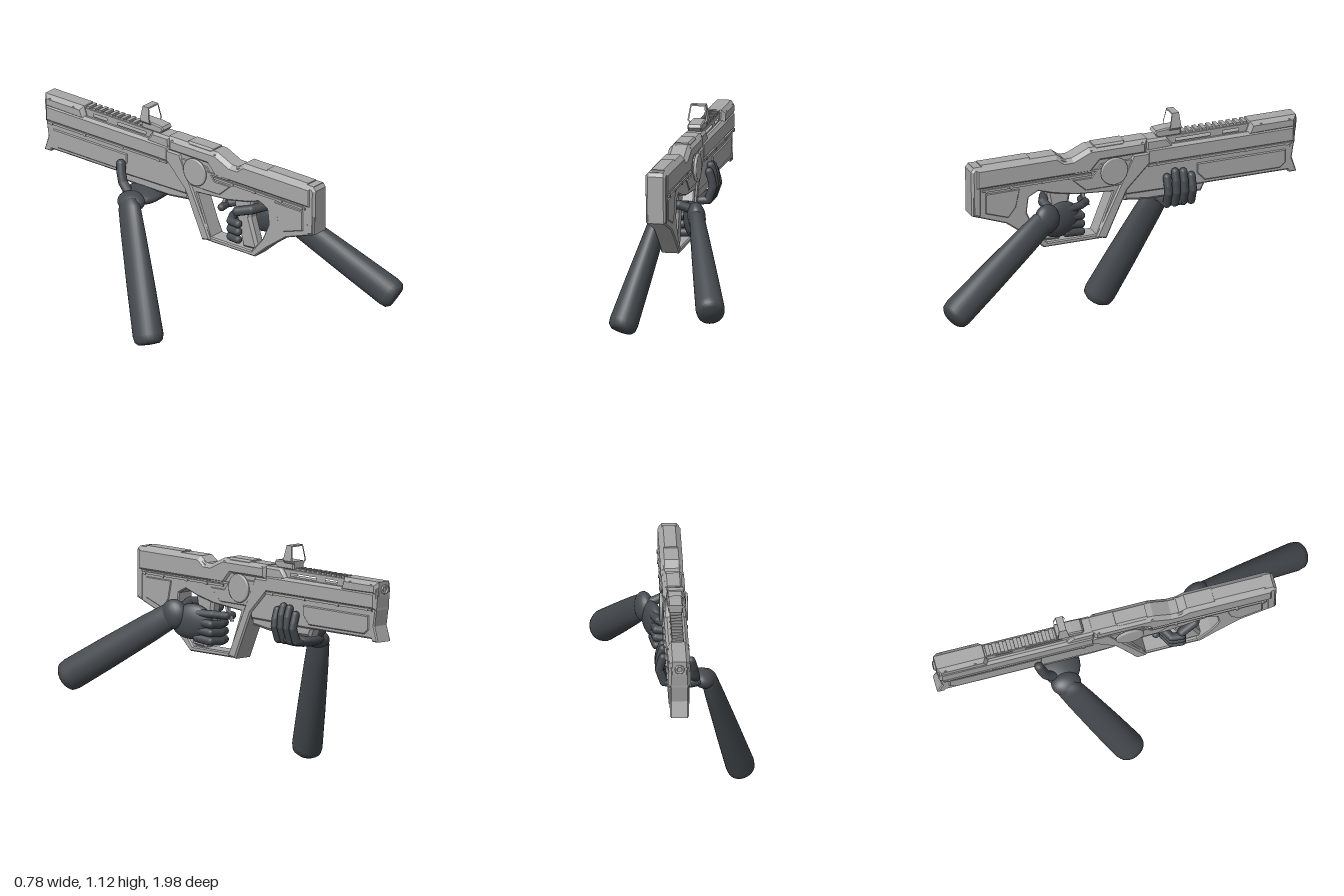
import * as THREE from 'three';

const V = (x, y, z) => new THREE.Vector3(x, y, z);

export function createModel() {
  const metal = new THREE.MeshStandardMaterial({ color: 0xa8a8a8 });
  metal.name = 'weapon grey';
  const glove = new THREE.MeshStandardMaterial({ color: 0x464b50 });
  glove.name = 'glove charcoal';

  const model = new THREE.Group();
  const rifle = new THREE.Group();
  rifle.name = 'rifle';
  rifle.position.x = 0.006;
  model.add(rifle);

  const add = (parent, name, geo, mat = metal) => {
    const m = new THREE.Mesh(geo, mat);
    m.name = name;
    parent.add(m);
    return m;
  };
  const path = (pts, Type = THREE.Path) => new Type(pts.map(p => new THREE.Vector2(...p)));

  // Side profile of [z, y] points, extruded across x with chamfered edges
  const side = (name, pts, half, bevel = 0.006, holes = []) => {
    const s = path(pts, THREE.Shape);
    s.holes = holes.map(h => path(h));
    const depth = 2 * (half - bevel);
    const g = new THREE.ExtrudeGeometry(s, {
      depth, bevelEnabled: bevel > 0, bevelThickness: bevel, bevelSize: bevel,
      bevelOffset: -bevel, bevelSegments: 1,
    });
    g.translate(0, 0, -depth / 2).rotateY(-Math.PI / 2);
    return add(rifle, name, g);
  };
  const box = (name, w, h, d, x, y, z) =>
    add(rifle, name, new THREE.BoxGeometry(w, h, d).translate(x, y, z));
  const rect = (z0, z1, y0, y1) => [[z0, y0], [z1, y0], [z1, y1], [z0, y1]];

  // Stock and lower frame with the grip opening
  side('frame', [[0.73, 0.755], [0.73, 0.99], [0.26, 0.99], [0.2, 0.96], [-0.2, 0.96],
    [-0.2, 0.88], [-0.07, 0.75], [0.025, 0.53], [0.35, 0.53], [0.43, 0.6], [0.55, 0.69]],
  0.047, 0.006, [[[0.44, 0.73], [0.43, 0.81], [0.38, 0.835], [0.3, 0.81], [0.18, 0.785],
    [-0.015, 0.77], [0.07, 0.555], [0.33, 0.555], [0.4, 0.64]]]);
  side('grip', [[0.33, 0.84], [0.2, 0.8], [0.21, 0.74], [0.26, 0.55], [0.36, 0.56], [0.31, 0.72]], 0.032, 0.014);
  side('trigger', [[0.15, 0.8], [0.12, 0.8], [0.115, 0.75], [0.09, 0.7], [0.105, 0.7], [0.135, 0.75]], 0.009, 0.003);

  // Upper shell
  side('stockShell', [[0.72, 0.885], [0.72, 1.01], [0.28, 1.01], [0.24, 0.98], [0.2, 0.98],
    [0.11, 1.02], [-0.2, 1.02], [-0.2, 0.94], [0.05, 0.94], [0.1, 0.885]], 0.056, 0.02);
  side('stockCheek', rect(0.68, 0.42, 0.97, 1.016), 0.042, 0.012);
  side('buttPad', [[0.73, 0.755], [0.735, 0.99], [0.72, 1.008], [0.68, 1.008], [0.68, 0.74]], 0.05, 0.012);
  side('lowerStockPanel', [[0.66, 0.76], [0.66, 0.865], [0.48, 0.865], [0.5, 0.77], [0.54, 0.72]], 0.051, 0.004);
  side('topCover', rect(0.08, -0.08, 0.97, 1.027), 0.042, 0.01);
  side('receiverPanel', [[0.2, 0.865], [0.13, 0.8], [-0.09, 0.8], [-0.15, 0.9], [-0.15, 0.93], [0.05, 0.93], [0.1, 0.865]], 0.051, 0.004);
  side('diagonalStrut', [[-0.21, 0.95], [-0.12, 0.95], [0.075, 0.54], [0.02, 0.528], [-0.09, 0.77], [-0.21, 0.89]], 0.055, 0.008);

  // Handguard
  side('handguardUpper', rect(-0.19, -0.98, 0.88, 0.972), 0.056, 0.014);
  side('handguardLower', [[-0.08, 0.885], [-0.08, 0.74], [-0.47, 0.735], [-0.96, 0.735], [-0.96, 0.885]], 0.046, 0.008);
  side('handguardPanel', [[-0.46, 0.8], [-0.5, 0.755], [-0.9, 0.755], [-0.93, 0.78], [-0.93, 0.85], [-0.46, 0.85]], 0.051, 0.005);
  side('handguardBelly', [[-0.07, 0.76], [-0.08, 0.705], [-0.2, 0.69], [-0.49, 0.69], [-0.52, 0.75]], 0.036, 0.014);
  side('frontTopBlock', [[-0.72, 0.95], [-0.745, 1.022], [-0.99, 1.022], [-0.99, 0.95]], 0.054, 0.02);
  side('muzzlePlate', [[-0.94, 0.74], [-0.955, 0.99], [-0.99, 0.99], [-0.98, 0.89], [-0.965, 0.8],
    [-0.99, 0.722], [-0.95, 0.722]], 0.046, 0.006);
  side('rearRailBlock', [[-0.19, 0.95], [-0.19, 1.015], [-0.3, 1.015], [-0.34, 0.96]], 0.05, 0.012);

  // Barrel end
  add(rifle, 'barrel', new THREE.CylinderGeometry(0.022, 0.022, 0.04, 20, 1, true)
    .rotateX(Math.PI / 2).translate(0, 0.983, -0.98));
  add(rifle, 'barrelRim', new THREE.TorusGeometry(0.018, 0.006, 8, 20).translate(0, 0.983, -0.995));

  // Top rail with open slots and teeth
  side('rail', rect(-0.28, -0.75, 0.965, 1.013), 0.03, 0.003,
    [rect(-0.35, -0.54, 0.976, 0.997), rect(-0.6, -0.69, 0.976, 0.997)]);
  for (let i = 0; i < 10; i++) box('railTooth', 0.056, 0.012, 0.02, 0, 1.017, -0.4 - i * 0.036);

  // Reflex sight
  side('sightBase', [[-0.24, 1.035], [-0.25, 1.05], [-0.3, 1.055], [-0.38, 1.055], [-0.38, 1.012], [-0.26, 1.012]], 0.036, 0.006);
  const frame = path([[-0.03, 1.036], [-0.05, 1.056], [-0.038, 1.132], [0.038, 1.132], [0.05, 1.056], [0.03, 1.036]], THREE.Shape);
  frame.holes = [path([[-0.026, 1.044], [-0.042, 1.058], [-0.032, 1.125], [0.032, 1.125], [0.042, 1.058], [0.026, 1.044]])];
  const hood = new THREE.ExtrudeGeometry(frame, { depth: 0.065, bevelEnabled: false }).translate(0, 0, -0.38);
  const hp = hood.attributes.position;
  for (let i = 0; i < hp.count; i++) { // hood narrows towards its top
    const t = (hp.getY(i) - 1.036) / 0.096;
    hp.setZ(i, hp.getZ(i) * (1 - 0.45 * t) - 0.355 * 0.45 * t);
  }
  hood.computeVertexNormals();
  add(rifle, 'sightHood', hood);

  // Mirrored side details
  for (const s of [-1, 1]) {
    add(rifle, 'sideDisc', new THREE.CylinderGeometry(0.062, 0.062, 0.03, 32)
      .rotateZ(Math.PI / 2).translate(s * 0.054, 0.885, -0.016));
    add(rifle, 'sideDiscRim', new THREE.TorusGeometry(0.064, 0.008, 8, 32)
      .rotateY(Math.PI / 2).translate(s * 0.062, 0.885, -0.016));
    box('stockRidge', 0.008, 0.012, 0.58, s * 0.055, 0.885, 0.39);
    box('handguardRidge', 0.008, 0.012, 0.76, s * 0.056, 0.883, -0.58);
    box('receiverRib', 0.008, 0.01, 0.14, s * 0.05, 0.9, 0.12);
    for (const [y, z] of [[0.885, 0.66], [0.885, 0.53], [0.885, 0.36], [0.885, 0.22], [0.883, -0.25],
      [0.883, -0.48], [0.883, -0.72], [0.883, -0.93], [1.0, 0.1], [1.0, -0.17], [1.0, -0.8], [1.0, -0.95]])
      add(rifle, 'bolt', new THREE.CylinderGeometry(0.009, 0.009, 0.012, 10)
        .rotateZ(Math.PI / 2).translate(s * (y > 0.95 ? 0.045 : 0.057), y, z));
  }

  // Forearm: lathe along the arm, flattened towards the wrist
  const forearm = (name, wrist, end) => {
    const d = end.clone().sub(wrist), L = d.length();
    const g = new THREE.LatheGeometry([[0, -0.03], [0.045, -0.02], [0.066, 0.02], [0.072, 0.15], [0.078, L * 0.6],
      [0.08, L - 0.05], [0.074, L - 0.02], [0.055, L - 0.004], [0, L]].map(p => new THREE.Vector2(...p)), 28);
    const p = g.attributes.position;
    for (let i = 0; i < p.count; i++) {
      const t = THREE.MathUtils.clamp(p.getY(i) / L, 0, 1);
      p.setX(i, p.getX(i) * (0.58 + 0.34 * t));
    }
    g.computeVertexNormals();
    d.normalize();
    const thin = V(1, 0, 0).addScaledVector(d, -d.x).normalize();
    g.applyMatrix4(new THREE.Matrix4().makeBasis(thin, d, thin.clone().cross(d)).setPosition(wrist));
    add(model, name, g, glove);
  };

  // Chain of capsules for a bent finger
  const finger = (parent, name, r, ...pts) => {
    for (let i = 1; i < pts.length; i++) {
      const d = pts[i].clone().sub(pts[i - 1]);
      const m = add(parent, name, new THREE.CapsuleGeometry(r, d.length(), 5, 12), glove);
      m.position.copy(pts[i - 1]).addScaledVector(d, 0.5);
      m.quaternion.setFromUnitVectors(V(0, 1, 0), d.normalize());
    }
  };
  const blob = (parent, name, size, pos, rot = [0, 0, 0]) => {
    const m = add(parent, name, new THREE.SphereGeometry(1, 24, 16), glove);
    m.scale.set(...size);
    m.position.set(...pos);
    m.rotation.set(...rot);
  };

  // Rear hand on the grip
  forearm('rearForearm', V(0.145, 0.715, 0.385), V(0.33, 0.355, 0.955));
  const rear = new THREE.Group();
  rear.name = 'rearHand';
  model.add(rear);
  blob(rear, 'palm', [0.042, 0.088, 0.115], [0.1, 0.69, 0.285], [0.1, 0.3, 0]);
  blob(rear, 'wrist', [0.045, 0.075, 0.07], [0.14, 0.72, 0.37], [0.3, 0.3, 0]);
  for (let i = 0; i < 3; i++) {
    const y = 0.685 - i * 0.042;
    finger(rear, 'finger', 0.021, V(0.1, y + 0.01, 0.25), V(0.085, y, 0.168), V(0.02, y - 0.005, 0.165),
      V(-0.04, y - 0.005, 0.2), V(-0.045, y - 0.005, 0.25));
  }
  finger(rear, 'indexFinger', 0.02, V(0.1, 0.735, 0.24), V(0.075, 0.735, 0.165), V(0.025, 0.727, 0.12), V(-0.02, 0.725, 0.125));
  finger(rear, 'thumb', 0.024, V(0.12, 0.75, 0.34), V(0.05, 0.775, 0.355), V(-0.025, 0.77, 0.32), V(-0.05, 0.75, 0.25));

  // Front hand under the handguard
  forearm('frontForearm', V(-0.155, 0.655, -0.355), V(-0.33, 0.032, -0.078));
  const front = new THREE.Group();
  front.name = 'frontHand';
  model.add(front);
  blob(front, 'palm', [0.115, 0.04, 0.1], [-0.03, 0.665, -0.365], [0, 0, 0.05]);
  blob(front, 'wrist', [0.06, 0.045, 0.075], [-0.13, 0.655, -0.36], [0, 0, 0.4]);
  [0.815, 0.838, 0.832, 0.805].forEach((tip, i) => {
    const z = -0.295 - i * 0.043;
    finger(front, 'finger', 0.021, V(0.0, 0.66, z), V(0.065, 0.665, z), V(0.088, 0.73, z),
      V(0.083, tip - 0.05, z), V(0.07, tip - 0.008, z));
  });
  finger(front, 'thumb', 0.024, V(-0.09, 0.665, -0.4), V(-0.085, 0.715, -0.45), V(-0.075, 0.765, -0.47), V(-0.065, 0.8, -0.48));

  return model;
}
